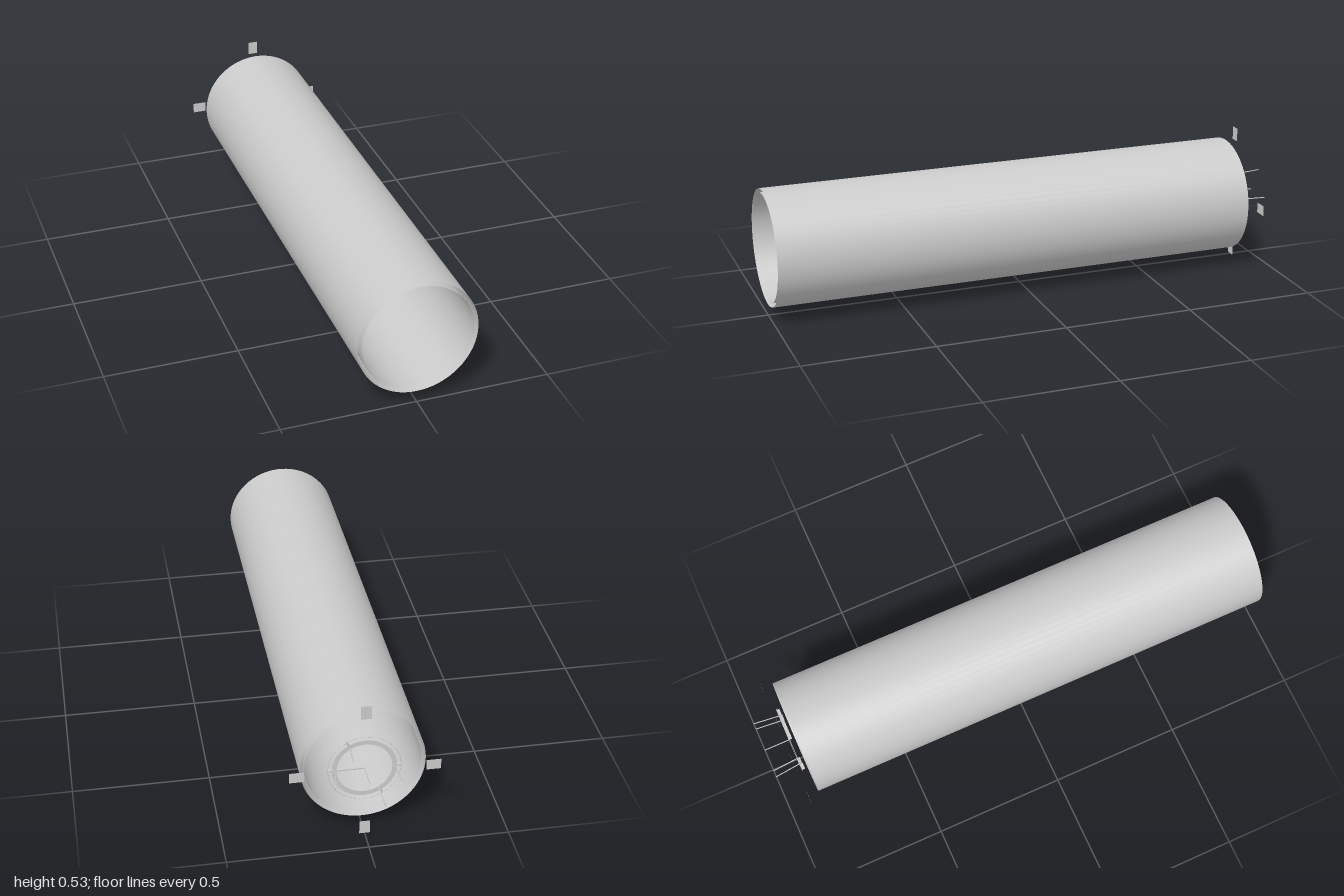
import * as THREE from 'three';

const CY = 0.268;      // height of the tube axis
const RING_Z = -0.9;   // plane of the reticle

export function createModel() {
  const model = new THREE.Group();
  const mat = new THREE.MeshStandardMaterial({ color: 0xcccccc, side: THREE.DoubleSide });
  const add = (name, geometry, parent = model) => {
    const mesh = new THREE.Mesh(geometry, mat);
    mesh.name = name;
    parent.add(mesh);
    return mesh;
  };

  // Long open tube: outer and inner walls without end faces
  const back = -0.875, front = 1;
  for (const [name, r] of [['outerWall', 0.222], ['innerWall', 0.206]]) {
    const wall = new THREE.CylinderGeometry(r, r, front - back, 64, 1, true);
    wall.rotateX(Math.PI / 2);
    add(name, wall).position.set(0, CY, (front + back) / 2);
  }

  // Four flat tabs around the rear opening
  for (const [x, y, w, h] of [[0, 1, 0.038, 0.052], [0, -1, 0.038, 0.052],
    [1, 0, 0.052, 0.04], [-1, 0, 0.052, 0.04]]) {
    add('rearTab', new THREE.PlaneGeometry(w, h)).position.set(x * 0.241, CY + y * 0.241, -0.918);
  }

  // Reticle behind the tube: flat ring and a fine outer hoop
  const reticle = new THREE.Group();
  reticle.name = 'reticle';
  reticle.position.set(0, CY, RING_Z);
  model.add(reticle);
  add('flatRing', new THREE.RingGeometry(0.098, 0.115, 64), reticle);
  add('outerHoop', new THREE.TorusGeometry(0.129, 0.001, 6, 64), reticle);

  // Radial bars; each carries a thin wire running backwards and slightly outwards
  const wire = (parent, r0, r1) => add('wire', new THREE.TubeGeometry(
    new THREE.LineCurve3(new THREE.Vector3(r0, 0, 0), new THREE.Vector3(r1, 0, -0.1)), 1, 0.002, 6), parent);
  for (const [deg, inner] of [[0, 0], [60, 0.104], [180, 0.104], [240, 0.104]]) {
    const arm = new THREE.Group();
    arm.name = 'radialArm';
    arm.rotation.z = THREE.MathUtils.degToRad(deg);
    reticle.add(arm);
    add('radialBar', new THREE.BoxGeometry(0.13 - inner, 0.005, 0.013), arm)
      .position.set((0.13 + inner) / 2, 0, 0.005);
    wire(arm, 0.104, 0.115);
  }
  wire(reticle, 0, 0);

  return model;
}
